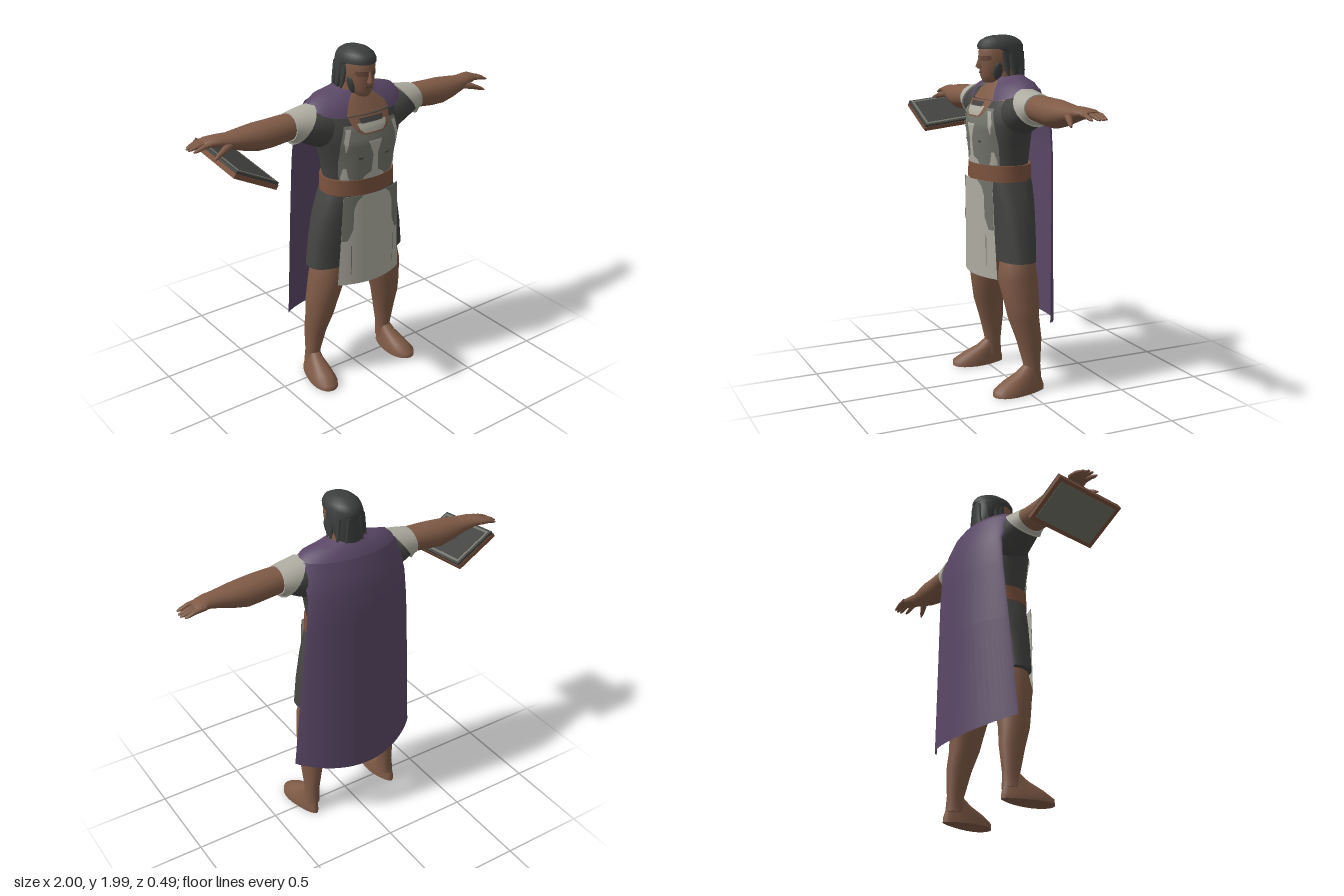
import * as THREE from 'three';

const mat = (name, color, side = THREE.FrontSide) => {
  const m = new THREE.MeshStandardMaterial({ color, side });
  m.name = name;
  return m;
};

// Surface from a rule f(column, row) -> [x, y, z]
function grid(cols, rows, f, closed = false, caps = false) {
  const p = [], idx = [], w = closed ? cols : cols + 1;
  for (let r = 0; r <= rows; r++) for (let c = 0; c < w; c++) p.push(...f(c, r));
  for (let r = 0; r < rows; r++) for (let c = 0; c < cols; c++) {
    const a = r * w + c, b = r * w + (c + 1) % w;
    idx.push(a, b, a + w, b, b + w, a + w);
  }
  if (caps) for (const r of [0, rows]) {
    const mid = [0, 0, 0], start = p.length / 3;
    for (let c = 0; c < w; c++) {
      const q = f(c, r);
      p.push(...q);
      q.forEach((v, k) => (mid[k] += v / w));
    }
    p.push(...mid);
    for (let c = 0; c < w; c++) {
      const a = start + c, b = start + (c + 1) % w;
      r === 0 ? idx.push(start + w, b, a) : idx.push(start + w, a, b);
    }
  }
  const g = new THREE.BufferGeometry();
  g.setAttribute('position', new THREE.Float32BufferAttribute(p, 3));
  g.setIndex(idx);
  g.computeVertexNormals();
  return g;
}

const sq = (v, e) => Math.sign(v) * Math.abs(v) ** e;

// Upright loft: rings of [y, centreX, centreZ, radiusX, radiusZ]; e below 1 squares the section
const loftY = (rings, n = 28, e = 1) => grid(n, rings.length - 1, (c, r) => {
  const t = -c / n * Math.PI * 2, [y, cx, cz, rx, rz] = rings[r];
  return [cx + rx * sq(Math.cos(t), e), y, cz + rz * sq(Math.sin(t), e)];
}, true, true);

// Sideways loft: rings of [x, centreY, centreZ, radiusY, radiusZ, slant]
const loftX = (rings, n = 20) => grid(n, rings.length - 1, (c, r) => {
  const t = -c / n * Math.PI * 2, [x, cy, cz, ry, rz, slant = 0] = rings[r];
  const dy = ry * Math.sin(t);
  return [x + slant * dy, cy + dy, cz + rz * Math.cos(t)];
}, true, true);

// Mirror across x = 0, keeping faces outward
function mirrored(g) {
  const m = g.clone().scale(-1, 1, 1), i = m.index.array;
  for (let k = 0; k < i.length; k += 3) [i[k], i[k + 1]] = [i[k + 1], i[k]];
  m.computeVertexNormals();
  return m;
}

const lerpRow = (rows, y) => {
  let k = 0;
  while (k < rows.length - 2 && y > rows[k + 1][0]) k++;
  const a = rows[k], b = rows[k + 1], t = (y - a[0]) / (b[0] - a[0]);
  return a.map((v, i) => v + (b[i] - v) * t);
};

// Front depth of an upright loft at (x, y)
const frontOf = rings => (x, y) => {
  const [, cx, cz, rx, rz] = lerpRow(rings, y);
  return cz + rz * Math.sqrt(Math.max(0.03, 1 - ((x - cx) / rx) ** 2));
};

// Thin plate following a front surface: rows of [y, x0, x1], bottom to top
function plate(rows, depth, off) {
  const s = rows.length - 1;
  return grid(16, s * 5, (c, r) => {
    const k = Math.min(s - 1, Math.floor(r / 5)), t = r / 5 - k;
    const [y, a, b] = rows[k].map((v, i) => v + (rows[k + 1][i] - v) * t);
    const x = a + (b - a) * c / 16;
    return [x, y, depth(x, y) + off];
  });
}

export function createModel() {
  const root = new THREE.Group();
  root.name = 'cloakedWarrior';
  const D = THREE.DoubleSide;
  const skin = mat('skin', 0x7f5a46), shade = mat('shadedSkin', 0x664838, D), leather = mat('leather', 0x7b523d);
  const cloth = mat('darkCloth', 0x434342, D), hairM = mat('hair', 0x3c3d3d);
  const pale = mat('paleMetal', 0xaeaca0, D), grey = mat('greyMetal', 0x72736a, D), purple = mat('purpleCloth', 0x5a4766, D);
  const add = (name, g, m) => {
    const o = new THREE.Mesh(g, m);
    o.name = name;
    root.add(o);
    return o;
  };
  const pair = (name, g, m) => {
    add('left' + name, g, m);
    add('right' + name, mirrored(g), m);
  };

  // Torso, skirt and belt
  const torso = [[1.2, 0, .03, .212, .15], [1.28, 0, .035, .212, .15], [1.4, 0, .035, .232, .16], [1.5, 0, .035, .265, .163],
    [1.58, 0, .025, .29, .15], [1.64, 0, .01, .28, .135]];
  add('tunic', loftY(torso, 36), cloth);
  add('upperChest', loftY([[1.63, 0, .01, .275, .134], [1.69, 0, 0, .22, .11], [1.73, 0, -.005, .12, .085], [1.75, 0, 0, .08, .075]]), skin);
  add('skirt', loftY([[.75, 0, .014, .32, .117], [.9, 0, .015, .302, .125], [1.05, 0, .018, .27, .135], [1.16, 0, .024, .232, .144], [1.22, 0, .03, .208, .145]], 40, .74), cloth);
  add('belt', loftY([[1.195, 0, .033, .226, .162], [1.285, 0, .033, .222, .16]], 36, .92), leather);

  // Breastplate with pale ornament
  const chest = frontOf(torso);
  add('breastplate', plate([[1.285, -.185, .185], [1.4, -.195, .195], [1.5, -.195, .195], [1.6, -.17, .17]], chest, .007), grey);
  add('neckOpening', plate([[1.545, -.06, .06], [1.565, -.1, .1], [1.59, -.12, .12], [1.64, -.135, .135]], chest, .01), skin);
  add('collarPlate', plate([[1.555, -.06, .06], [1.575, -.085, .085], [1.608, -.095, .095]], chest, .014), pale);
  add('collarBand', plate([[1.605, -.07, .07], [1.632, -.08, .08]], chest, .016), cloth);
  add('chestOrnament', plate([[1.288, -.075, .075], [1.31, -.06, .06], [1.33, -.022, .022], [1.43, -.015, .015], [1.47, -.03, .03], [1.51, -.045, .045]], chest, .012), pale);
  pair('ChestStrip', plate([[1.46, .165, .172], [1.52, .155, .18], [1.585, .135, .165]], chest, .012), pale);
  pair('RibStrip', plate([[1.288, .14, .18], [1.31, .15, .182], [1.36, .16, .175]], chest, .012), pale);
  pair('ChestSlot', plate([[1.41, .075, .1], [1.42, .075, .105]], chest, .012), cloth);

  // Apron panel
  const apron = x => .207 - 1.3 * x * x;
  add('apron', plate([[.652, -.215, .215], [.9, -.2, .2], [1.2, -.185, .185]], apron, 0), pale);
  pair('ApronTrim', plate([[.93, .165, .199], [1.0, .135, .196], [1.12, .13, .192], [1.17, .11, .188], [1.2, .075, .186]], apron, .004), grey);
  pair('ApronSeam', plate([[.72, .145, .15], [.9, .142, .147]], apron, .004), grey);

  // Legs and bare feet
  pair('Leg', loftY([[.06, .27, -.04, .048, .06], [.15, .265, -.045, .042, .05], [.3, .255, -.03, .06, .075], [.42, .24, -.005, .078, .09],
    [.5, .228, 0, .09, .1], [.65, .2, .015, .105, .115], [.74, .19, .012, .1, .1], [.86, .17, .012, .08, .07]], 22), skin);
  const foot = loftY([[0, .28, .045, .075, .16], [.03, .28, .045, .074, .158], [.07, .275, .022, .062, .122], [.11, .27, -.02, .05, .078], [.15, .266, -.045, .042, .05]], 24);
  const fp = foot.attributes.position;
  for (let i = 0; i < fp.count; i++) {
    const z = fp.getZ(i), k = .85 + Math.max(-.2, Math.min(.35, z * 1.8));
    fp.setX(i, .272 + (fp.getX(i) - .272) * k + Math.max(0, z) * .05);
  }
  foot.computeVertexNormals();
  pair('Foot', foot, skin);

  // Sleeves, arms and hands
  pair('Sleeve', loftX([[.14, 1.56, .005, .11, .12], [.24, 1.575, .005, .115, .12], [.32, 1.595, 0, .1, .108], [.4, 1.612, 0, .074, .09]]), cloth);
  pair('SleeveCuff', loftX([[.345, 1.615, 0, .098, .11, -.75], [.39, 1.615, 0, .085, .1, -.3], [.425, 1.615, 0, .075, .091, -.1]]), pale);
  pair('Arm', loftX([[.36, 1.615, 0, .065, .08], [.45, 1.615, 0, .071, .085], [.55, 1.608, 0, .075, .085], [.62, 1.605, -.005, .075, .085],
    [.7, 1.61, -.005, .062, .075], [.78, 1.618, -.008, .044, .06], [.84, 1.628, -.018, .033, .056], [.89, 1.63, -.032, .024, .056], [.92, 1.626, -.036, .014, .048]]), skin);
  for (const [i, z, tip] of [[0, -.076, .985], [1, -.053, 1], [2, -.029, 1], [3, .008, .99]])
    pair('Finger' + i, loftX([[.87, 1.63, z, .014, .015], [.93, 1.624, z, .012, .015], [tip - .02, 1.612, z, .009, .012], [tip, 1.607, z, .004, .006]], 8), skin);
  pair('Thumb', loftX([[.79, 1.61, .025, .022, .025], [.84, 1.6, .05, .018, .02], [.89, 1.582, .07, .012, .013], [.912, 1.572, .078, .005, .006]], 8), skin);

  // Mantle round the shoulders, open at the throat
  const collar = [[1.775, -.01, .105, .085], [1.755, -.005, .18, .105], [1.735, 0, .26, .135], [1.695, 0, .305, .158]];
  add('mantle', grid(40, 3, (c, r) => {
    const t = (62 - c / 40 * 304) * Math.PI / 180, [y, cz, rx, rz] = collar[r];
    return [rx * Math.cos(t), y - .065 * Math.max(0, Math.sin(t)) * (r + 1) / 4, cz + rz * Math.sin(t)];
  }), purple);

  // Long cape: rows of [centre y, edge y, half width, edge z, centre z, section power]
  const cape = [[.37, .425, .4, -.09, -.245, 1.8], [1, 1, .355, -.115, -.236, 1.8], [1.35, 1.35, .325, -.13, -.228, 1.7],
    [1.52, 1.52, .31, -.125, -.215, 1.5], [1.62, 1.62, .308, -.08, -.185, 1.2], [1.7, 1.7, .303, -.01, -.158, 1]];
  add('cape', grid(28, 5, (c, r) => {
    const t = (1 - c / 14) * Math.PI / 2, [yc, ye, w, ze, zc, e] = cape[r];
    return [w * Math.sin(t), yc + (ye - yc) * Math.sin(t) ** 2, ze + (zc - ze) * Math.abs(Math.cos(t)) ** e];
  }), purple);

  // Head and face
  const skull = [[1.732, 0, .09, .028, .035], [1.745, 0, .08, .045, .055], [1.77, 0, .068, .06, .077], [1.81, 0, .05, .075, .1],
    [1.85, 0, .04, .082, .113], [1.9, 0, .035, .086, .12], [1.94, 0, .03, .075, .11]];
  const face = frontOf(skull);
  add('neck', loftY([[1.68, 0, -.005, .09, .08], [1.74, 0, .01, .072, .07], [1.82, 0, .015, .07, .07]]), skin);
  add('head', loftY(skull), skin);
  add('nose', loftY([[1.808, 0, .147, .014, .018], [1.82, 0, .147, .017, .031], [1.85, 0, .147, .009, .019], [1.885, 0, .145, .006, .01]], 8), skin);
  pair('EyeShade', plate([[1.85, .018, .06], [1.865, .014, .068], [1.878, .016, .066]], face, .003), shade);
  add('mouth', plate([[1.783, -.022, .022], [1.792, -.026, .026]], face, .004), shade);
  for (const s of [-1, 1]) {
    const beard = add(s > 0 ? 'leftSideburn' : 'rightSideburn', new THREE.SphereGeometry(1, 12, 8), hairM);
    beard.scale.set(.014, .05, .028);
    beard.position.set(s * .065, 1.795, .07);
    beard.rotation.z = -s * .25;
  }

  // Hair: crown, back and loose locks
  add('hairCrown', loftY([[1.915, 0, .025, .094, .134], [1.935, 0, .027, .094, .135], [1.96, 0, .028, .083, .12], [1.98, 0, .026, .06, .085], [1.99, 0, .022, .032, .045]]), hairM);
  add('hairBack', loftY([[1.755, 0, -.06, .07, .045], [1.8, 0, -.048, .09, .058], [1.87, 0, -.022, .098, .08], [1.91, 0, 0, .097, .104], [1.935, 0, .02, .093, .125]]), hairM);
  [[.096, -.01], [.09, .025], [.083, -.06], [.045, -.088]].forEach(([x, z], i) =>
    pair('HairLock' + i, loftY([[1.755, x + .008, z - .008, .002, .003], [1.8, x, z, .01, .016], [1.9, x - .012, z + .008, .014, .024]], 8), hairM));

  // Tilted book under the right hand
  const book = new THREE.Group();
  book.name = 'book';
  book.position.set(-.77, 1.505, .03);
  book.rotation.set(.11, 0, -.49);
  const slab = (name, w, h, d, y, m) => {
    const o = new THREE.Mesh(new THREE.BoxGeometry(w, h, d), m);
    o.name = name;
    o.position.y = y;
    book.add(o);
  };
  slab('bookBlock', .285, .026, .42, -.009, leather);
  slab('bookCover', .28, .014, .415, .011, cloth);
  slab('coverBorder', .255, .003, .39, .019, grey);
  slab('coverPanel', .225, .003, .36, .021, cloth);
  slab('backPanel', .24, .004, .37, -.023, grey);
  root.add(book);
  return root;
}
